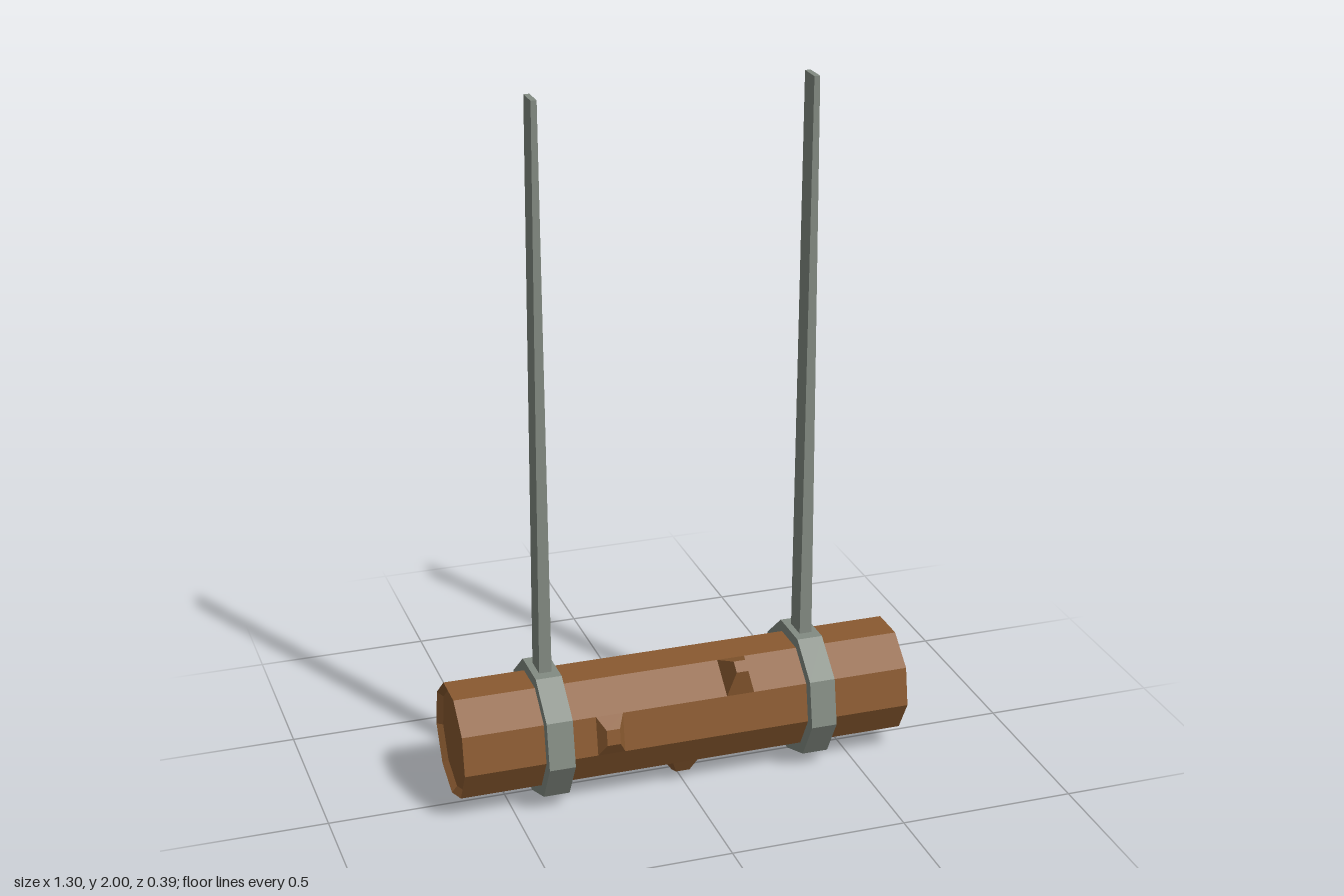
import * as THREE from 'three';

const SIDES = 9, LOG_R = 0.163, CENTER_Y = 0.2;
const FACE = LOG_R * Math.cos(Math.PI / SIDES);  // distance from axis to a log face
const HALF = LOG_R * Math.sin(Math.PI / SIDES);  // half the width of a log face

// Nine-sided solid turned around the x axis, with one corner at the bottom
function turned(profile) {
  const points = profile.map(([r, x]) => new THREE.Vector2(r, x));
  return new THREE.LatheGeometry(points, SIDES, Math.PI / 2).rotateZ(-Math.PI / 2);
}

// Box whose horizontal levels [height, halfX, halfZ] are resized one by one
function tapered(levels) {
  const n = levels.length - 1;
  const geometry = new THREE.BoxGeometry(1, 1, 1, 1, n, 1);
  const p = geometry.attributes.position;
  for (let i = 0; i < p.count; i++) {
    const [y, hx, hz] = levels[Math.round((p.getY(i) + 0.5) * n)];
    p.setXYZ(i, Math.sign(p.getX(i)) * hx, y, Math.sign(p.getZ(i)) * hz);
  }
  geometry.computeVertexNormals();
  return geometry;
}

export function createModel() {
  const wood = new THREE.MeshStandardMaterial({ name: 'brown wood', color: 0x8a5a30, flatShading: true });
  const metal = new THREE.MeshStandardMaterial({ name: 'grey metal', color: 0x838b82, flatShading: true });
  const model = new THREE.Group();
  model.name = 'hangingLog';

  function add(name, geometry, material, x, y) {
    const mesh = new THREE.Mesh(geometry, material);
    mesh.name = name;
    mesh.position.set(x, y, 0);
    model.add(mesh);
  }

  // Log with slightly hollowed ends
  add('log', turned([
    [0, -0.635], [0.145, -0.635], [LOG_R, -0.65],
    [LOG_R, 0.65], [0.145, 0.635], [0, 0.635],
  ]), wood, 0, CENTER_Y);

  // Branch stubs: x, angle of the log face from the bottom, levels above that face
  const stubs = [
    ['upperFrontStub', 0.15, 140, [[0, 0.04, HALF], [0.067, 0.017, 0.017]]],
    ['frontStub', -0.233, 100, [[0, 0.039, HALF], [0.03, 0.019, 0.022]]],
    ['lowerFrontStub', 0, 20, [[0, 0.036, HALF], [0.031, 0.02, 0.02]]],
    ['backStub', -0.233, -100, [[0, 0.038, HALF], [0.025, 0.038, 0.043], [0.044, 0.019, 0.02]]],
  ];
  for (const [name, x, angle, levels] of stubs) {
    const raised = levels.map(([h, hx, hz]) => [FACE + h, hx, hz]);
    const geometry = tapered(raised).rotateX(Math.PI - THREE.MathUtils.degToRad(angle));
    add(name, geometry, wood, x, CENTER_Y);
  }

  // Clamping ring and tapering hanger bar on each side
  for (const [side, s] of [['left', 1], ['right', -1]]) {
    const x = 0.383 * s;
    add(side + 'Ring', turned([
      [0.15, -0.037], [0.196, -0.037], [0.196, 0.037], [0.15, 0.037],
    ]), metal, x, CENTER_Y);
    add(side + 'Hanger', tapered([[0.36, 0.018, 0.034], [2, 0.008, 0.034]]), metal, x, 0);
  }
  return model;
}
